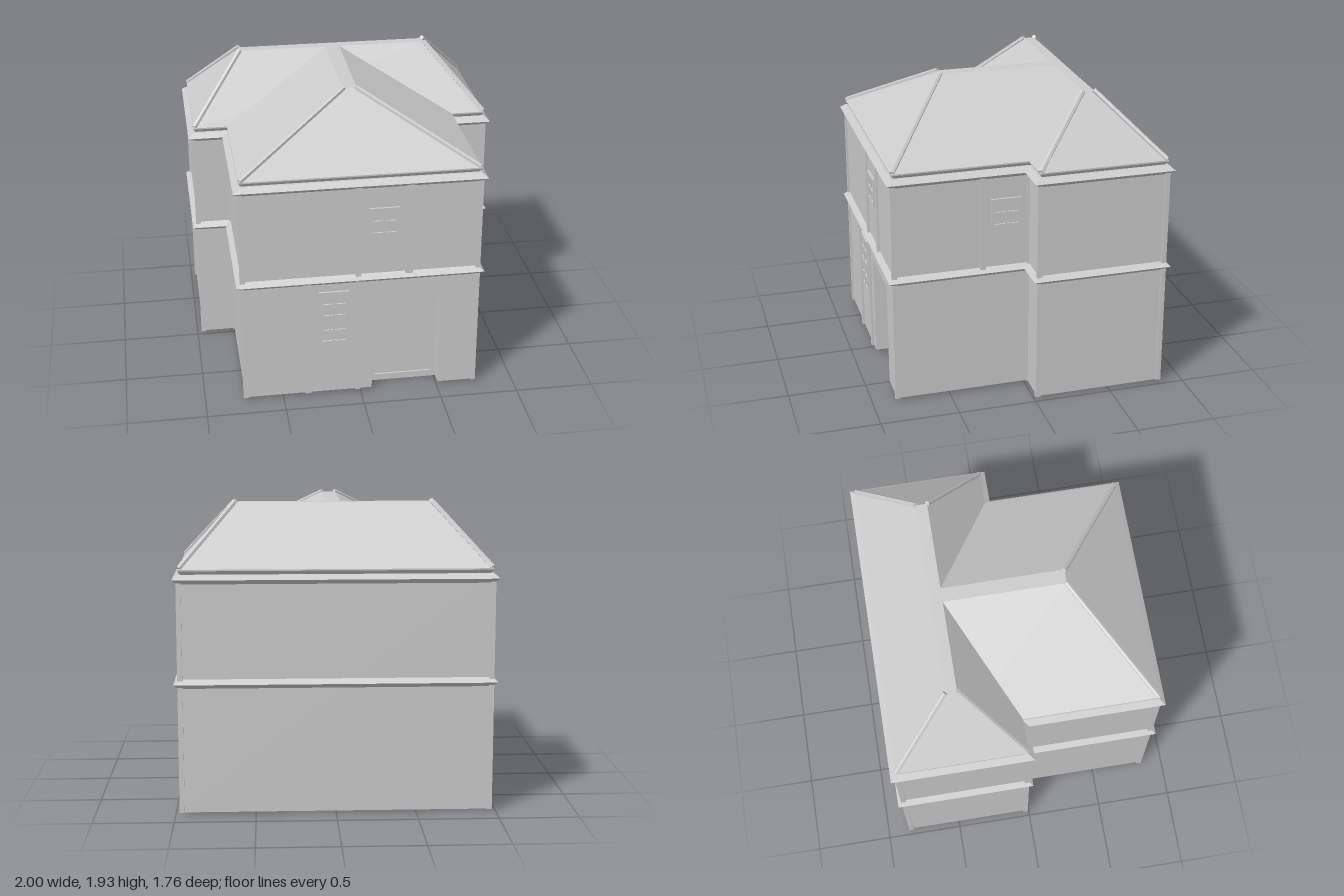
import * as THREE from 'three';

const material = new THREE.MeshStandardMaterial({ color: 0xcccccc, flatShading: true, side: THREE.DoubleSide });

// Wall lines of the T-shaped plan
const WIDE = 0.963, NARROW = 0.745, FRONT = 0.842, MID = -0.02, BACK = -0.845;
const BASE = 0.015, EAVE = 1.535, RIDGE = 1.91;

// T-shaped outline as [x, z] corners, pushed outward by d; the first edge is the front wall
function plan(d) {
  const n = NARROW + d, w = WIDE + d, f = FRONT + d, m = MID + d, b = BACK - d;
  return [[-n, f], [n, f], [n, m], [w, m], [w, b], [-w, b], [-w, m], [-n, m]];
}

const rect = (x, zFront, zBack) => [[-x, zFront], [x, zFront], [x, zBack], [-x, zBack]];

// Joins outlines stacked at different heights: rings = [[outline, y], ...]
function loft(rings, { skip = -1, cap = false } = {}) {
  const pos = [];
  const quad = (a, b, c, d) => pos.push(...a, ...b, ...c, ...a, ...c, ...d);
  const at = ([outline, y], i) => {
    const p = outline[i % outline.length];
    return [p[0], y, p[1]];
  };
  for (let r = 0; r < rings.length - 1; r++) {
    for (let i = 0; i < rings[r][0].length; i++) {
      if (i === skip) continue;
      quad(at(rings[r], i), at(rings[r], i + 1), at(rings[r + 1], i + 1), at(rings[r + 1], i));
    }
  }
  if (cap) {
    const top = rings[rings.length - 1];
    quad(at(top, 0), at(top, 1), at(top, 2), at(top, 3));
  }
  const geometry = new THREE.BufferGeometry();
  geometry.setAttribute('position', new THREE.Float32BufferAttribute(pos, 3));
  geometry.computeVertexNormals();
  return geometry;
}

function add(parent, name, geometry, x = 0, y = 0, z = 0) {
  const mesh = new THREE.Mesh(geometry, material);
  mesh.name = name;
  mesh.position.set(x, y, z);
  parent.add(mesh);
  return mesh;
}

// Box given by its limits
function block(parent, name, x0, x1, y0, y1, z0, z1) {
  return add(parent, name, new THREE.BoxGeometry(x1 - x0, y1 - y0, z1 - z0),
    (x0 + x1) / 2, (y0 + y1) / 2, (z0 + z1) / 2);
}

function outline(target, x0, y0, x1, y1) {
  target.moveTo(x0, y0);
  target.lineTo(x1, y0);
  target.lineTo(x1, y1);
  target.lineTo(x0, y1);
  target.closePath();
  return target;
}

// Flat rectangular frame with rectangular holes [x0, y0, x1, y1]
function frame(w, h, depth, holes) {
  const shape = outline(new THREE.Shape(), -w / 2, -h / 2, w / 2, h / 2);
  for (const hole of holes) shape.holes.push(outline(new THREE.Path(), ...hole));
  return new THREE.ExtrudeGeometry(shape, { depth, bevelEnabled: false });
}

// Window of stacked four-pane sashes, facing +z from the wall plane
function makeWindow(name, sashes) {
  const group = new THREE.Group();
  group.name = name;
  const w = 0.188, h = 0.186 * sashes, pane = 0.068, off = 0.04;
  const holes = [];
  for (let s = 0; s < sashes; s++) {
    const cy = (s - (sashes - 1) / 2) * 0.186;
    for (const sx of [-1, 1]) for (const sy of [-1, 1]) {
      const x = sx * off, y = cy + sy * off;
      holes.push([x - pane / 2, y - pane / 2, x + pane / 2, y + pane / 2]);
    }
  }
  add(group, 'windowFrame', frame(w, h, 0.014, holes));
  block(group, 'windowGlass', -w / 2 + 0.01, w / 2 - 0.01, -h / 2 + 0.01, h / 2 - 0.01, -0.008, 0.004);
  return group;
}

export function createModel() {
  const house = new THREE.Group();
  house.name = 'house';

  // Outer walls; the front one is notched for the doorway
  const door = { x0: 0.075, x1: 0.51, top: 0.685, z: 0.73 };
  add(house, 'walls', loft([[plan(0), BASE], [plan(0), 1.503]], { skip: 0 }));
  const front = new THREE.Shape([
    [-NARROW, BASE], [door.x0, BASE], [door.x0, door.top], [door.x1, door.top],
    [door.x1, BASE], [NARROW, BASE], [NARROW, 1.503], [-NARROW, 1.503],
  ].map(([x, y]) => new THREE.Vector2(x, y)));
  add(house, 'frontWall', new THREE.ShapeGeometry(front), 0, 0, FRONT);

  // Floor between the storeys
  const floor = new THREE.Shape(plan(0).map(([x, z]) => new THREE.Vector2(x, -z)));
  add(house, 'upperFloor', new THREE.ShapeGeometry(floor).rotateX(-Math.PI / 2), 0, 0.85, 0);

  // Pointed mouldings around each storey
  for (const [name, y] of [['middleMoulding', 0.83], ['upperMoulding', 1.475]]) {
    add(house, name, loft([[plan(0), y - 0.029], [plan(0.035), y], [plan(0), y + 0.029]]));
  }

  // Corner posts
  for (const [x, z] of plan(-0.004)) {
    block(house, 'cornerPost', x - 0.0155, x + 0.0155, BASE, 1.46, z - 0.0155, z + 0.0155);
  }

  // Timber posts on the front and on the left wall
  const z0 = FRONT - 0.012, z1 = FRONT + 0.014;
  block(house, 'lowerPost', -0.36, -0.32, BASE, 0.815, z0, z1);
  block(house, 'middlePost', -0.035, 0, BASE, 1.46, z0, z1);
  block(house, 'upperPost', 0.278, 0.325, 0.84, 1.46, z0, z1);
  block(house, 'sidePost', NARROW - 0.012, NARROW + 0.014, 0.84, 1.46, 0.26, 0.296);

  // Windows
  const upper = makeWindow('upperWindow', 1);
  upper.position.set(0.142, 1.218, FRONT);
  const lower = makeWindow('lowerWindow', 2);
  lower.position.set(-0.172, 0.563, FRONT);
  const side = makeWindow('sideWindow', 1);
  side.position.set(NARROW, 1.218, 0.128);
  side.rotation.y = Math.PI / 2;
  house.add(upper, lower, side);

  // Recessed doorway
  const entrance = new THREE.Group();
  entrance.name = 'entrance';
  house.add(entrance);
  const w = door.x1 - door.x0, cx = (door.x0 + door.x1) / 2;
  for (const x of [door.x0, door.x1]) {
    const depth = FRONT - door.z;
    add(entrance, 'doorReveal', new THREE.PlaneGeometry(depth, door.top - BASE).rotateY(Math.PI / 2),
      x, (door.top + BASE) / 2, FRONT - depth / 2);
  }
  add(entrance, 'doorLintel', new THREE.PlaneGeometry(w, FRONT - door.z).rotateX(Math.PI / 2),
    cx, door.top, (FRONT + door.z) / 2);
  add(entrance, 'doorFrame', frame(w, door.top, 0.03, [[-0.185, -0.298, 0.185, 0.317]]),
    cx, door.top / 2, door.z - 0.015);
  block(entrance, 'doorPanel', door.x0 + 0.02, door.x1 - 0.02, 0.02, 0.67, door.z - 0.01, door.z + 0.004);

  // Roof: eaves board, broad rear hip and front hip, both with flat ridges
  add(house, 'eaves', loft([[plan(0), 1.503], [plan(-0.018), 1.503], [plan(0), 1.526], [plan(0), EAVE]]));
  add(house, 'rearRoof', loft([
    [rect(WIDE, MID, BACK), EAVE], [rect(0.62, -0.4, -0.47), RIDGE],
  ], { cap: true }));
  add(house, 'frontRoof', loft([
    [rect(NARROW, FRONT, -0.4), EAVE], [rect(0.045, 0.365, -0.4), RIDGE],
  ], { cap: true }));

  // Rolls along the hips
  const hips = [
    [[NARROW, FRONT], [0.038, 0.36]],
    [[WIDE, MID], [0.62, -0.4]],
    [[WIDE, BACK], [0.62, -0.47]],
  ];
  for (const [[x0, zLow], [x1, zHigh]] of hips) for (const s of [-1, 1]) {
    const low = new THREE.Vector3(s * (x0 - 0.008), EAVE + 0.004, zLow - Math.sign(zLow + 0.4) * 0.008);
    const high = new THREE.Vector3(s * x1, RIDGE + 0.002, zHigh);
    const run = high.clone().sub(low);
    const roll = add(house, 'hipRoll', new THREE.CylinderGeometry(0.017, 0.017, run.length(), 6));
    roll.position.copy(low).addScaledVector(run, 0.5);
    roll.quaternion.setFromUnitVectors(new THREE.Vector3(0, 1, 0), run.normalize());
  }

  return house;
}
